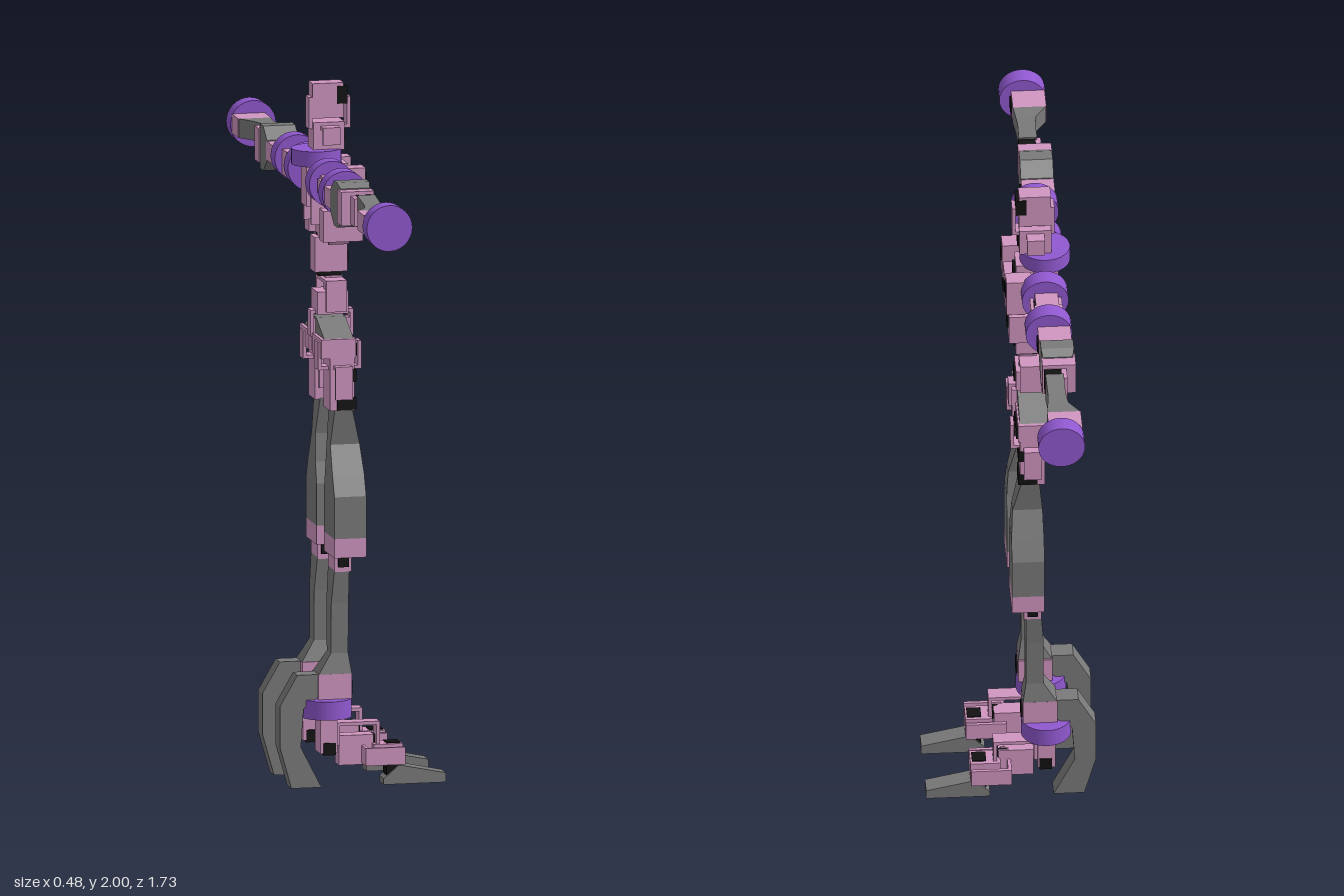
import * as THREE from 'three';

const mat = (color) => new THREE.MeshStandardMaterial({ color, flatShading: true });
const pink = mat(0xd096c0), grey = mat(0x7a7a7a), black = mat(0x111111);
const purple = new THREE.MeshStandardMaterial({ color: 0x9058cf });
const order = (a, b) => a - b;

export function createModel() {
  const root = new THREE.Group();
  let target = root;

  function add(name, geometry, material) {
    const m = new THREE.Mesh(geometry, material);
    m.name = name;
    target.add(m);
    return m;
  }
  function group(name, build) {
    const parent = target;
    target = new THREE.Group();
    target.name = name;
    parent.add(target);
    build();
    target = parent;
  }
  // Box from its limits on each axis; s = -1 mirrors it in z.
  function box(name, material, x, y, z, s = 1) {
    const [z0, z1] = [z[0] * s, z[1] * s].sort(order);
    const m = add(name, new THREE.BoxGeometry(x[1] - x[0], y[1] - y[0], z1 - z0), material);
    m.position.set((x[0] + x[1]) / 2, (y[0] + y[1]) / 2, (z0 + z1) / 2);
  }
  // U-shaped bracket: a plate across 'arm' axis, closed at the low or high end of 'open' axis.
  function bracket(name, x, y, z, arm, open, high, s = 1) {
    const t = 0.01, lim = [x, y, z], part = (axis, top) => {
      const l = lim.map((v) => [...v]);
      l[axis] = top ? [l[axis][1] - t, l[axis][1]] : [l[axis][0], l[axis][0] + t];
      box(name, pink, ...l, s);
    };
    part(open, high);
    part(arm, false);
    part(arm, true);
  }
  // Disc along y or z.
  function disc(name, r, h, x, y, z, axis) {
    const g = new THREE.CylinderGeometry(r, r, h, 32);
    if (axis === 'z') g.rotateX(Math.PI / 2);
    add(name, g, purple).position.set(x, y, z);
  }
  // Rectangular sections [p, x0, x1, b0, b1] along y (b = z) or along z (b = y).
  function loft(name, axis, sections, s) {
    const rows = sections.map(([p, x0, x1, b0, b1]) => {
      if (axis === 'z') return [p * s, x0, x1, b0, b1];
      return [p, x0, x1, ...[b0 * s, b1 * s].sort(order)];
    }).sort((a, b) => a[0] - b[0]);
    const rings = rows.map(([p, x0, x1, b0, b1]) => {
      const c = [[x0, b0], [x1, b0], [x1, b1], [x0, b1]];
      return axis === 'z' ? c.map(([x, b]) => [x, b, p]) : c.reverse().map(([x, b]) => [x, p, b]);
    });
    const pos = [];
    const quad = (a, b, c, d) => pos.push(...a, ...b, ...c, ...a, ...c, ...d);
    for (let i = 0; i + 1 < rings.length; i++) {
      for (let j = 0; j < 4; j++) {
        const k = (j + 1) % 4;
        quad(rings[i][j], rings[i][k], rings[i + 1][k], rings[i + 1][j]);
      }
    }
    const e = rings[rings.length - 1], f = rings[0];
    quad(f[3], f[2], f[1], f[0]);
    quad(e[0], e[1], e[2], e[3]);
    const g = new THREE.BufferGeometry();
    g.setAttribute('position', new THREE.Float32BufferAttribute(pos, 3));
    g.computeVertexNormals();
    add(name, g, grey);
  }
  // Side profile in x,y extruded across z.
  function profile(name, pts, z0, z1, s) {
    const shape = new THREE.Shape(pts.map(([x, y]) => new THREE.Vector2(x, y)));
    const g = new THREE.ExtrudeGeometry(shape, { depth: z1 - z0, bevelEnabled: false });
    add(name, g, grey).position.z = s > 0 ? z0 : -z1;
  }

  // Head and neck
  group('head', () => {
    box('headServo', pink, [-0.12, -0.03], [1.9, 2], [-0.025, 0.025]);
    box('headJoint', black, [-0.05, -0.02], [1.94, 1.99], [-0.027, 0.027]);
    bracket('headBracket', [-0.13, -0.01], [1.87, 1.96], [-0.022, 0.022], 0, 1, false);
    bracket('neckBracket', [-0.1, -0.05], [1.83, 1.88], [-0.07, 0.07], 2, 1, true);
    box('neckServo', pink, [-0.12, -0.03], [1.81, 1.89], [-0.035, 0.035]);
    box('neckJoint', black, [-0.09, -0.025], [1.83, 1.87], [-0.02, 0.02]);
    disc('collar', 0.071, 0.045, -0.104, 1.79, 0, 'y');
  });

  // Chest and waist
  group('torso', () => {
    box('chest', pink, [-0.14, -0.02], [1.65, 1.77], [-0.035, 0.035]);
    box('chestJoint', black, [-0.04, -0.012], [1.715, 1.755], [-0.02, 0.02]);
    bracket('chestBracket', [-0.13, 0], [1.6, 1.69], [-0.05, 0.05], 2, 1, true);
    box('spine', pink, [-0.1, -0.02], [1.56, 1.65], [-0.028, 0.028]);
    box('waistServo', pink, [-0.115, -0.02], [1.46, 1.56], [-0.03, 0.03]);
    for (const y of [1.55, 1.5]) box('waistJoint', black, [-0.1, -0.015], [y - 0.018, y + 0.018], [-0.02, 0.02]);
    box('waistDisc', black, [-0.1, -0.035], [1.445, 1.462], [-0.01, 0.01]);
    box('lowerSpine', pink, [-0.08, -0.03], [1.35, 1.445], [-0.012, 0.012]);
    for (const s of [1, -1]) {
      box('chestServo', pink, [-0.06, 0.012], [1.66, 1.77], [0.065, 0.115], s);
      box('chestSideJoint', black, [-0.03, 0.016], [1.715, 1.755], [0.075, 0.107], s);
      box('ribServo', pink, [-0.11, 0.005], [1.56, 1.65], [0.065, 0.115], s);
      box('ribJoint', black, [-0.04, 0.01], [1.61, 1.645], [0.072, 0.107], s);
      box('chestLink', pink, [-0.02, 0.01], [1.675, 1.715], [0, 0.1], s);
      const m = add('ribStrut', new THREE.BoxGeometry(0.06, 0.02, 0.1), pink);
      m.position.set(-0.06, 1.59, s * 0.06);
      m.rotation.x = s * 0.75;
    }
  });

  // Pelvis
  group('pelvis', () => {
    bracket('waistBracket', [-0.09, -0.03], [1.35, 1.44], [-0.065, 0.065], 2, 1, true);
    box('abdomenServo', pink, [-0.11, -0.02], [1.34, 1.405], [-0.04, 0.04]);
    box('abdomenJoint', black, [-0.07, -0.015], [1.36, 1.4], [-0.02, 0.02]);
    bracket('hipYoke', [-0.125, 0], [1.275, 1.35], [-0.02, 0.02], 0, 1, true);
    loft('pelvisBlock', 'y', [[1.23, -0.1, -0.03, -0.06, 0.06], [1.28, -0.11, -0.025, -0.135, 0.135],
      [1.33, -0.11, -0.025, -0.025, 0.025]], 1);
    box('pelvisCore', pink, [-0.115, -0.01], [1.235, 1.325], [-0.015, 0.015]);
    for (const s of [1, -1]) {
      box('pelvisServo', pink, [-0.12, -0.02], [1.23, 1.285], [0.02, 0.135], s);
      box('pelvisJoint', black, [-0.09, -0.015], [1.235, 1.27], [0.04, 0.075], s);
      box('pelvisOuterJoint', black, [-0.09, -0.015], [1.235, 1.27], [0.1, 0.125], s);
    }
  });

  for (const s of [1, -1]) {
    const side = s > 0 ? 'front' : 'rear';

    // Arm stretched along z
    group(side + 'Arm', () => {
      for (const [n, z] of [['shoulderDisc', 0.132], ['upperArmDisc', 0.293], ['wristDisc', 0.84]])
        disc(n, 0.066, 0.053, -0.095, 1.735, z * s, 'z');
      box('shoulderLink', pink, [-0.12, -0.07], [1.71, 1.76], [0.04, 0.11], s);
      box('shoulderServo', pink, [-0.13, -0.065], [1.71, 1.762], [0.155, 0.22], s);
      box('shoulderJoint', black, [-0.1, -0.06], [1.715, 1.752], [0.18, 0.215], s);
      bracket('shoulderBracket', [-0.14, -0.05], [1.715, 1.755], [0.17, 0.23], 0, 2, true, s);
      box('shoulderHousing', pink, [-0.14, -0.06], [1.69, 1.762], [0.215, 0.27], s);
      box('upperArmServo', pink, [-0.155, -0.062], [1.708, 1.762], [0.315, 0.4], s);
      box('upperArmJoint', black, [-0.12, -0.058], [1.715, 1.752], [0.345, 0.385], s);
      loft('elbowShell', 'z', [[0.39, -0.155, -0.062, 1.705, 1.765], [0.435, -0.155, -0.062, 1.67, 1.798],
        [0.475, -0.155, -0.062, 1.67, 1.798], [0.5, -0.15, -0.066, 1.685, 1.785]], s);
      box('elbowServo', pink, [-0.157, -0.062], [1.685, 1.782], [0.48, 0.535], s);
      box('elbowHousing', pink, [-0.13, -0.07], [1.69, 1.77], [0.53, 0.58], s);
      box('elbowJoint', black, [-0.115, -0.066], [1.715, 1.773], [0.54, 0.575], s);
      loft('forearm', 'z', [[0.57, -0.12, -0.068, 1.692, 1.778], [0.65, -0.12, -0.07, 1.708, 1.768],
        [0.69, -0.125, -0.067, 1.71, 1.765], [0.735, -0.155, -0.062, 1.71, 1.765]], s);
      box('wristServo', pink, [-0.157, -0.062], [1.71, 1.765], [0.735, 0.815], s);
      box('wristJoint', black, [-0.12, -0.058], [1.715, 1.755], [0.765, 0.805], s);
    });

    // Leg
    group(side + 'Leg', () => {
      bracket('hipBracket', [-0.125, 0], [1.195, 1.275], [0.07, 0.115], 0, 1, false, s);
      bracket('thighBracket', [-0.085, -0.035], [1.115, 1.21], [0.04, 0.16], 2, 1, true, s);
      box('hipServo', pink, [-0.095, -0.025], [1.08, 1.235], [0.055, 0.135], s);
      for (const y of [1.18, 1.1]) box('hipJoint', black, [-0.075, -0.02], [y - 0.018, y + 0.018], [0.075, 0.137], s);
      loft('thigh', 'y', [[0.72, -0.092, 0, 0.045, 0.175], [0.84, -0.092, 0, 0.045, 0.175],
        [0.9, -0.092, 0, 0.06, 0.15], [0.98, -0.09, -0.005, 0.07, 0.115], [1.085, -0.08, -0.03, 0.052, 0.13]], s);
      box('kneeServo', pink, [-0.092, 0], [0.665, 0.72], [0.045, 0.175], s);
      box('kneeHousing', pink, [-0.085, -0.035], [0.62, 0.665], [0.065, 0.145], s);
      box('kneeJoint', black, [-0.075, -0.045], [0.635, 0.668], [0.06, 0.155], s);
      loft('shin', 'y', [[0.325, -0.13, -0.033, 0.065, 0.14], [0.385, -0.092, -0.042, 0.08, 0.13],
        [0.53, -0.092, -0.042, 0.075, 0.135], [0.625, -0.085, -0.042, 0.065, 0.145]], s);
      box('ankleServo', pink, [-0.13, -0.033], [0.255, 0.327], [0.06, 0.14], s);
      box('ankleUpperJoint', black, [-0.08, -0.028], [0.265, 0.305], [0.088, 0.126], s);
      disc('ankleDisc', 0.071, 0.053, -0.1, 0.228, 0.108 * s, 'y');
      profile('heelClaw', [[-0.125, 0.327], [-0.19, 0.327], [-0.24, 0.24], [-0.24, 0.12], [-0.207, 0.003],
        [-0.12, 0.003], [-0.18, 0.12], [-0.172, 0.23], [-0.125, 0.265]], 0.08, 0.135, s);
    });

    // Foot
    group(side + 'Foot', () => {
      box('ankleLink', pink, [-0.125, -0.075], [0.1, 0.205], [0.075, 0.14], s);
      box('ankleJoint', black, [-0.115, -0.08], [0.095, 0.13], [0.07, 0.143], s);
      bracket('instepBracket', [-0.075, 0.05], [0.12, 0.185], [0.085, 0.13], 0, 1, true, s);
      box('instepServo', pink, [-0.065, 0.035], [0.06, 0.145], [0.065, 0.115], s);
      box('instepJoint', black, [0.005, 0.04], [0.11, 0.145], [0.075, 0.11], s);
      bracket('toeBracket', [0, 0.115], [0.065, 0.115], [0.055, 0.17], 2, 0, false, s);
      box('toeServo', pink, [0.03, 0.115], [0.06, 0.12], [0.075, 0.14], s);
      box('toeJoint', black, [0.07, 0.11], [0.025, 0.123], [0.085, 0.128], s);
      profile('toe', [[0.06, 0.003], [0.24, 0.003], [0.24, 0.03], [0.105, 0.058], [0.06, 0.02]], 0.08, 0.135, s);
    });
  }
  return root;
}
